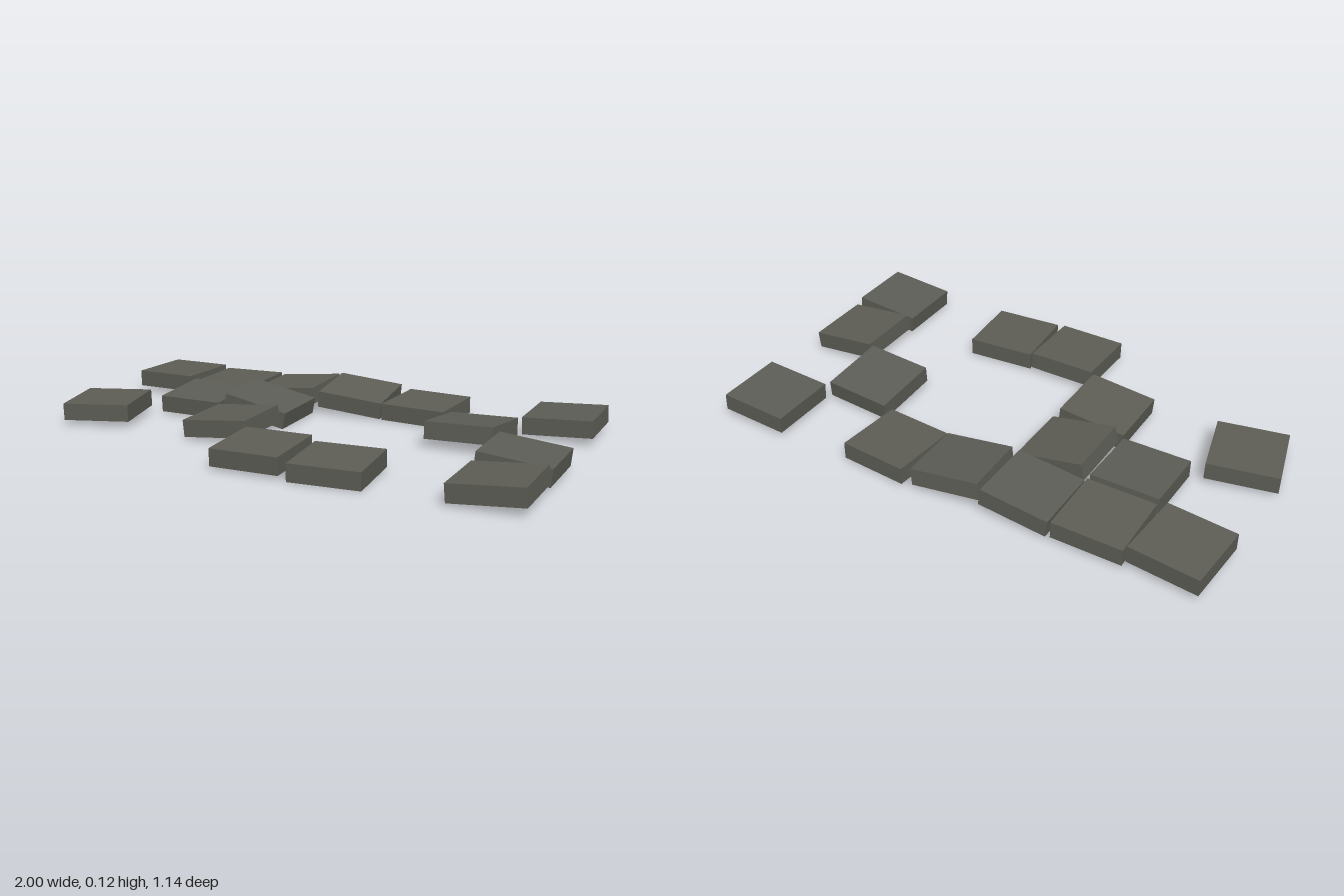
import * as THREE from 'three';

const SIZE = 0.266, THICK = 0.066;

// Tile shell: a box with the bottom left open
function tileGeometry() {
  const g = new THREE.BoxGeometry(SIZE, THICK, SIZE);
  const index = Array.from(g.index.array);
  index.splice(18, 6); // drop the -y face
  g.setIndex(index);
  g.clearGroups();
  return g;
}

// Each tile: x, y, z of the centre, then yaw, pitch, roll
const BACK_ROW = [
  [-0.84, 0.06, -0.425, -0.08, 0, 0.02],
  [-0.553, 0.05, -0.425, 0.01, 0, 0.02],
  [-0.273, 0.058, -0.425, 0, 0.02, 0.11],
  [0.011, 0.06, -0.425, 0.065, 0.08, -0.1],
  [0.3, 0.038, -0.425, -0.08, 0.02, 0],
  [0.865, 0.058, -0.425, 0, 0, 0.06],
];
const MIDDLE_BACK_ROW = [
  [-0.553, 0.05, -0.144, 0, 0.06, 0],
  [-0.26, 0.06, -0.143, 0, 0.01, -0.19],
  [0.583, 0.06, -0.144, -0.05, -0.1, 0.04],
];
const MIDDLE_FRONT_ROW = [
  [-0.84, 0.056, 0.142, 0.235, 0, 0.03],
  [-0.275, 0.055, 0.138, 0, 0, 0.1],
  [0.863, 0.057, 0.134, 0, 0, -0.1],
];
const FRONT_ROW = [
  [0.008, 0.052, 0.425, 0, 0.04, 0.01],
  [0.3, 0.038, 0.425, 0.075, 0.02, 0],
  [0.863, 0.055, 0.425, 0, 0, 0.09],
];

export function createModel() {
  const model = new THREE.Group();
  model.name = 'scatteredTiles';
  const stone = new THREE.MeshStandardMaterial({ color: 0x5e5e57, side: THREE.DoubleSide });
  stone.name = 'darkStone';
  const geometry = tileGeometry();

  const rows = {
    backRow: BACK_ROW,
    middleBackRow: MIDDLE_BACK_ROW,
    middleFrontRow: MIDDLE_FRONT_ROW,
    frontRow: FRONT_ROW,
  };
  for (const [name, tiles] of Object.entries(rows)) {
    const row = new THREE.Group();
    row.name = name;
    tiles.forEach(([x, y, z, yaw, pitch, roll], i) => {
      const tile = new THREE.Mesh(geometry, stone);
      tile.name = `tile${i + 1}`;
      tile.position.set(x, y, z);
      tile.rotation.set(pitch, yaw, roll, 'YXZ');
      row.add(tile);
    });
    model.add(row);
  }
  return model;
}
